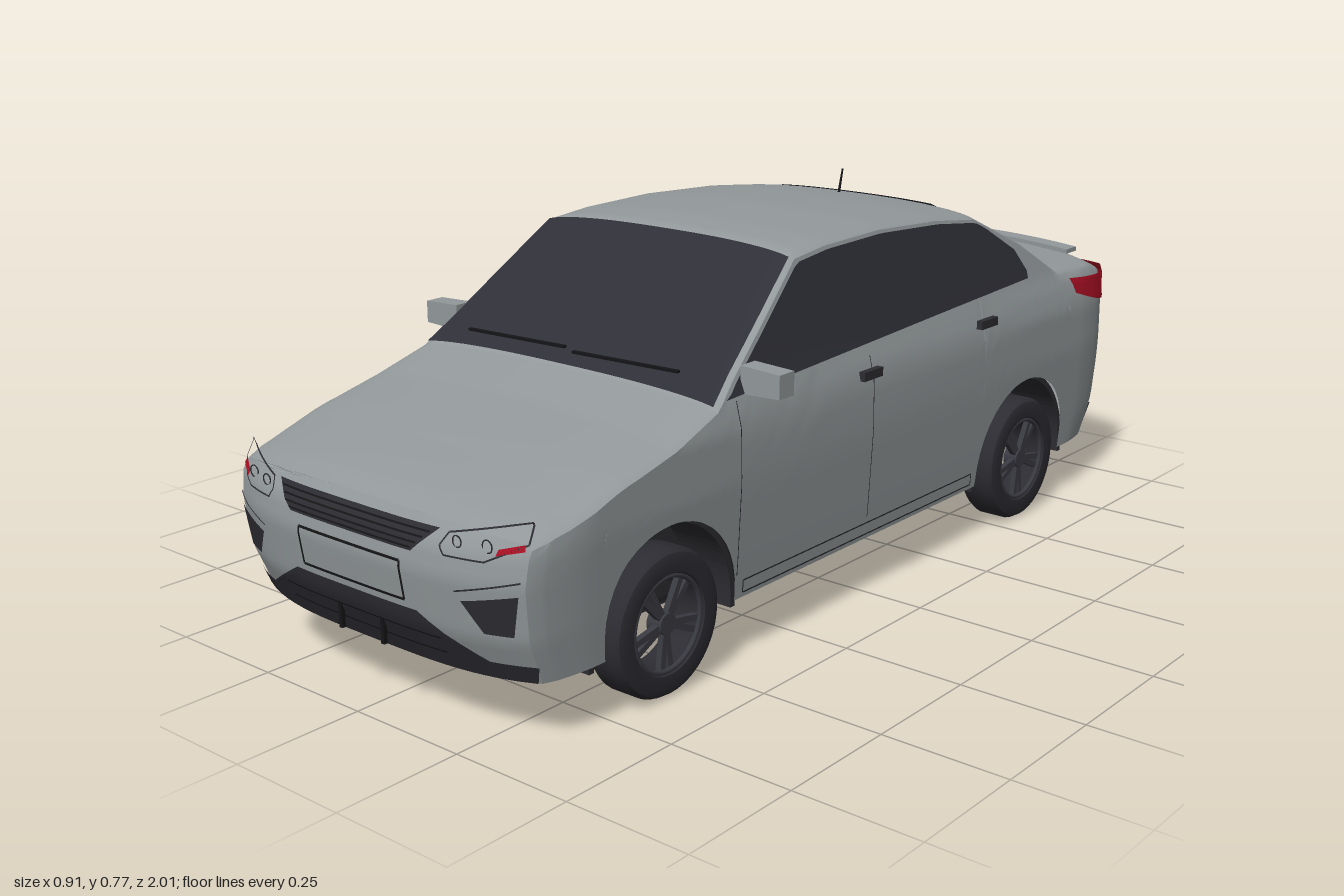
import * as THREE from 'three';
import { mergeGeometries, toCreasedNormals } from 'three/addons/utils/BufferGeometryUtils.js';

const mat = (name, color) => new THREE.MeshStandardMaterial({ name, color, side: THREE.DoubleSide });

// Piecewise linear lookup in [key, value] pairs with rising keys
function table(rows, k) {
  if (k <= rows[0][0]) return rows[0][1];
  for (let i = 1; i < rows.length; i++) {
    const [a, va] = rows[i - 1], [b, vb] = rows[i];
    if (k <= b) return va + (vb - va) * (k - a) / (b - a);
  }
  return rows[rows.length - 1][1];
}

// Body rules: centre height, crown, half width by height, end taper, end-face slant
const TOP = [[-1, .535], [-.96, .552], [-.85, .557], [-.74, .562], [-.6, .645], [-.44, .716], [-.3, .732],
  [-.1, .742], [.08, .738], [.18, .728], [.48, .508], [.6, .475], [.8, .437], [.9, .42], [.97, .405], [1, .393]];
const CROWN = [[-1, .03], [-.74, .035], [-.44, .025], [.18, .022], [.48, .02], [.7, .03], [1, .03]];
const SIDE = [[.12, .374], [.2, .38], [.35, .389], [.45, .388], [.5, .376], [.53, .364], [.6, .346], [.7, .318], [.74, .305]];
const TAPER = [[.88, 1], [.95, .985], [.98, .97], [1, .945]];
const NOSE = [[.12, .05], [.2, .015], [.3, 0], [.35, .006], [.4, .035]];
const TAIL = [[.12, .05], [.2, .01], [.3, 0], [.5, 0], [.55, .03]];
const WHEEL_Z = [.615, -.585], WHEEL_Y = .137, ARCH = .187;

const edge = z => table(TOP, z) - table(CROWN, z);
const halfWidth = (y, z) => table(SIDE, y) * table(TAPER, Math.abs(z));
function bottom(z) {
  for (const c of WHEEL_Z) {
    const d = Math.abs(z - c);
    if (d < ARCH) return .135 + Math.sqrt(ARCH * ARCH - d * d);
  }
  return .12;
}
// Rounds the nose and tail in plan and slants their faces
function bend(x, y, z) {
  const k = THREE.MathUtils.smoothstep(Math.abs(z), .7, 1);
  const d = k * (.065 * Math.pow(Math.abs(x) / .38, 3.5) + table(z > 0 ? NOSE : TAIL, y));
  return [x, y, z - Math.sign(z) * d];
}
// Places flat coordinates on the body skin, slightly raised
const raise = (p, x, y, z) => [p[0] + x, p[1] + y, p[2] + z];
const onFront = (x, y) => raise(bend(x, y, 1), 0, 0, .004);
const onBack = (x, y) => raise(bend(x, y, -1), 0, 0, -.004);
const onSide = s => (z, y) => raise(bend(s * halfWidth(y, z), y, z), s * .004, 0, 0);
function crownPoint(u, z) {
  const e = edge(z), y = e + table(CROWN, z) * Math.pow(Math.max(0, 1 - Math.pow(Math.abs(u), 2.5)), .6);
  return bend(u * halfWidth(e, z), y, z);
}
const onTop = (u, z) => raise(crownPoint(u, z), 0, .005, Math.sign(z) * .003);

// Surface through a grid of points f(a, b), with a and b from 0 to 1
function grid(na, nb, f) {
  const pos = [], idx = [], w = nb + 1;
  for (let i = 0; i <= na; i++) for (let j = 0; j <= nb; j++) pos.push(...f(i / na, j / nb));
  for (let i = 0; i < na; i++) for (let j = 0; j < nb; j++) {
    const a = i * w + j;
    idx.push(a, a + w, a + 1, a + 1, a + w, a + w + 1);
  }
  const g = new THREE.BufferGeometry();
  g.setAttribute('position', new THREE.Float32BufferAttribute(pos, 3));
  g.setIndex(idx);
  g.computeVertexNormals();
  return g;
}
// Four corners in order around the patch, laid on the skin
const patch = (map, [p, q, r, s], n = 14) => grid(n, 5, (a, b) => {
  const mix = i => (p[i] * (1 - a) + q[i] * a) * (1 - b) + (s[i] * (1 - a) + r[i] * a) * b;
  return map(mix(0), mix(1));
});
// Thin line along points, laid on the skin
function stroke(map, pts, w = .004) {
  return mergeGeometries(pts.slice(1).map((b, i) => {
    const a = pts[i], l = Math.hypot(b[0] - a[0], b[1] - a[1]);
    const nx = -(b[1] - a[1]) / l * w / 2, ny = (b[0] - a[0]) / l * w / 2;
    return patch(map, [[a[0] - nx, a[1] - ny], [b[0] - nx, b[1] - ny], [b[0] + nx, b[1] + ny], [a[0] + nx, a[1] + ny]]);
  }));
}

function bodyGeometry() {
  const zs = new Set(TOP.map(r => r[0]));
  for (let z = -.98; z < 1; z += .04) zs.add(+z.toFixed(3));
  for (const c of WHEEL_Z) for (let k = 0; k <= 20; k++) zs.add(+(c + ARCH * Math.cos(k * Math.PI / 20)).toFixed(4));
  for (const c of WHEEL_Z) for (const s of [-1, 1]) zs.add(c + s * (ARCH + .002));
  const st = [...zs].sort((a, b) => a - b), rows = 16;
  const crown = [.985, .95, .9, .8, .6, .4, .2, 0];
  // Half section from the sill up to the centre line
  const half = z => {
    const b = bottom(z), e = edge(z), out = [];
    for (let i = 0; i <= rows; i++) {
      const y = b + (e - b) * i / rows;
      out.push(bend(halfWidth(y, z), y, z));
    }
    return out.concat(crown.map(u => crownPoint(u, z)));
  };
  const loops = st.map(z => {
    const h = half(z);
    return h.concat(h.slice(0, -1).reverse().map(([x, y, w]) => [-x, y, w]));
  });
  const n = loops[0].length - 1;
  const parts = [grid(st.length - 1, n, (a, b) => loops[Math.round(a * (st.length - 1))][Math.round(b * n)])];
  // Nose and tail faces
  for (const z of [-1, 1]) {
    const h = half(z).map(p => p[0]), hy = half(z).map(p => p[1]), m = h.length - 1;
    parts.push(grid(m, 16, (a, b) => {
      const i = Math.round(a * m);
      return bend(h[i] * (1 - 2 * b) * z, hy[i], z);
    }));
  }
  return toCreasedNormals(mergeGeometries(parts), .6);
}

// Arch outline: half circle with straight legs down to the sill
function archShape(r, low = .107) {
  const s = new THREE.Shape();
  s.moveTo(r, low).lineTo(r, .135).absarc(0, .135, r, 0, Math.PI, false).lineTo(-r, low);
  return s;
}

export function createModel() {
  const car = new THREE.Group();
  car.name = 'sedan';
  const paint = mat('silver paint', 0x93999b), glass = mat('dark glass', 0x2f2f38), trim = mat('dark trim', 0x2c2c32);
  const black = mat('black', 0x151517), red = mat('red lamp', 0xa50f22), white = mat('white lamp', 0xfafafa);
  const rim = mat('rim grey', 0x3a3a42);
  const add = (name, geo, m, parent = car) => {
    const mesh = new THREE.Mesh(geo, m);
    mesh.name = name;
    parent.add(mesh);
    return mesh;
  };
  const box = (name, m, size, at, parent) => {
    const b = add(name, new THREE.BoxGeometry(...size), m, parent);
    b.position.set(...at);
    return b;
  };

  add('body', bodyGeometry(), paint);

  // Glass
  add('windshield', patch(onTop, [[-.975, .478], [.975, .478], [.975, .186], [-.975, .186]], 28), glass);
  add('rearWindow', patch(onTop, [[-.7, -.725], [.7, -.725], [.63, -.455], [-.63, -.455]], 28), glass);
  for (const s of [-1, 1]) add('sideWindows', grid(60, 6, (a, b) => {
    const z = .455 - 1.06 * a, low = .505 + .038 * a;
    const high = Math.max(low, Math.min(edge(z) - .006, table([[-.605, .56], [-.57, .61], [-.44, .69], [-.3, .74]], z)));
    return onSide(s)(z, low + (high - low) * b);
  }), glass);
  for (const x of [-.14, .14]) {
    const w = box('wiper', black, [.26, .005, .008], [x, .537, .458], car);
    w.rotation.z = .025;
  }

  // Front: grilles, lamps and number plate frame
  add('upperGrille', patch(onFront, [[-.205, .378], [.205, .378], [.155, .333], [-.155, .333]], 24), trim);
  for (let i = 0; i < 4; i++) {
    const w = .19 - i * .011, y = .37 - i * .01;
    add('grilleSlat', stroke((x, h) => raise(onFront(x, h), 0, 0, .003), [[-w, y], [w, y]], .003), black);
  }
  add('lowerGrille', patch(onFront, [[-.155, .226], [.155, .226], [.29, .15], [-.29, .15]], 24), trim);
  add('frontLip', patch(onFront, [[-.362, .155], [.362, .155], [.35, .121], [-.35, .121]], 24), trim);
  for (const y of [.155, .185]) add('grilleBar', stroke((x, h) => raise(onFront(x, h), 0, 0, .003), [[-.2, y], [.2, y]], .003), black);
  for (const x of [-.055, .055]) box('grillePost', black, [.008, .09, .008], [x, .18, .978], car);
  add('frontPlateFrame', stroke(onFront, [[-.13, .24], [.13, .24], [.13, .311], [-.13, .311], [-.13, .24]], .005), black);
  for (const s of [-1, 1]) {
    const f = (x, y) => onFront(s * x, y);
    add('headlampOutline', stroke(f, [[.215, .355], [.225, .375], [.36, .405], [.363, .372], [.3, .34], [.225, .34], [.215, .355]], .003), trim);
    for (const [x, r] of [[.245, .01], [.3, .011]]) {
      const ring = add('headlampRing', new THREE.TorusGeometry(r, .0012, 6, 20), trim);
      ring.position.set(...f(x, .364));
    }
    add('frontMarker', patch(f, [[.318, .352], [.361, .362], [.358, .372], [.32, .362]]), red);
    add('fogGrille', patch(f, [[.255, .266], [.356, .288], [.34, .213], [.29, .213]]), trim);
    add('bumperCrease', stroke(f, [[.245, .282], [.36, .312]], .003), trim);
  }

  // Back: lamps, bumper, number plate frame and lip spoiler
  add('rearBumperTrim', patch(onBack, [[-.36, .185], [.36, .185], [.35, .121], [-.35, .121]], 24), trim);
  add('rearPlateFrame', stroke(onBack, [[-.13, .36], [.13, .36], [.13, .435], [-.13, .435], [-.13, .36]], .005), black);
  for (const s of [-1, 1]) {
    const b = (x, y) => onBack(s * x, y);
    add('tailLampBack', patch(b, [[.366, .44], [.366, .522], [.2, .515], [.13, .475]]), red);
    add('tailLampSide', patch(onSide(s), [[-1, .44], [-1, .5], [-.79, .515], [-.81, .48]]), red);
    add('rearFogPanel', patch(b, [[.23, .275], [.35, .285], [.335, .2], [.255, .205]]), s < 0 ? white : trim);
    add('rearReflector', patch((x, y) => raise(b(x, y), 0, 0, -.003), [[.27, .24], [.31, .243], [.31, .252], [.27, .249]]), red);
  }
  const lip = new THREE.BoxGeometry(.6, .01, .045, 16, 1, 1), lp = lip.attributes.position;
  for (let i = 0; i < lp.count; i++) {
    const q = (lp.getX(i) / .3) ** 2;
    lp.setZ(i, lp.getZ(i) + .03 * q);
    lp.setY(i, lp.getY(i) - .008 * q);
  }
  lip.computeVertexNormals();
  add('spoilerLip', lip, paint).position.set(0, .556, -.945);
  box('thirdBrakeLamp', red, [.17, .008, .01], [0, .566, -.757], car);

  // Roof antenna
  const antenna = add('antenna', new THREE.CylinderGeometry(.002, .003, .06, 8), black);
  antenna.position.set(0, .742, -.405);
  antenna.rotation.x = -.25;

  // Sides: mirrors, handles, door seams and sills
  for (const s of [-1, 1]) {
    const g = new THREE.BoxGeometry(.088, .052, .042), p = g.attributes.position;
    for (let i = 0; i < p.count; i++) if (p.getX(i) * s > 0) p.setY(i, p.getY(i) * .86);
    g.computeVertexNormals();
    add('mirror', g, paint).position.set(s * .411, .531, .382);
    box('mirrorArm', trim, [.03, .012, .025], [s * .368, .51, .382], car);
    for (const z of [.027, -.4]) box('doorHandle', trim, [.014, .018, .062], [s * .389, .465 + (z < 0 ? .02 : 0), z], car);
    for (const z of [.43, .02]) add('doorSeam', stroke(onSide(s), [[z, .17], [z, .5]], .002), trim);
    add('sillLine', stroke(onSide(s), [[.41, .132], [.41, .156], [-.37, .156], [-.37, .132], [.41, .132]], .003), trim);
  }

  // Underside
  const floor = (name, m, z0, z1, w) => add(name, grid(6, 6, (a, b) =>
    bend(w * (2 * b - 1), .121, z0 + (z1 - z0) * a)), m);
  floor('floorMiddle', black, -.395, .425, .368);
  floor('floorFrontAxle', black, .425, .805, .275);
  floor('floorNose', black, .805, 1, .35);
  floor('floorRearAxle', trim, -.775, -.395, .275);
  floor('floorTail', trim, -1, -.775, .35);
  box('muffler', trim, [.3, .05, .13], [0, .115, -.84], car);
  box('rearAxleBeam', trim, [.56, .04, .05], [0, .13, WHEEL_Z[1]], car);

  // Wheels with arch liners
  const profile = [[.088, -.036], [.118, -.042], [.13, -.038], [.137, -.026], [.137, .026], [.13, .038], [.118, .042], [.094, .04], [.088, .03], [.088, -.036]];
  const tyreGeo = toCreasedNormals(new THREE.LatheGeometry(profile.map(p => new THREE.Vector2(...p)), 40), .6);
  for (const s of [-1, 1]) for (const z of WHEEL_Z) {
    const wheel = new THREE.Group();
    wheel.name = 'wheel';
    wheel.position.set(s * .343, WHEEL_Y, z);
    wheel.rotation.z = -s * Math.PI / 2;
    car.add(wheel);
    add('tyre', tyreGeo, trim, wheel);
    add('rimRing', new THREE.TorusGeometry(.088, .005, 8, 40), rim, wheel).rotation.x = Math.PI / 2;
    wheel.children[1].position.y = .033;
    add('hub', new THREE.CylinderGeometry(.02, .024, .03, 20), rim, wheel).position.y = .02;
    for (let i = 0; i < 5; i++) for (const d of [-.13, .13]) {
      const arm = new THREE.Group();
      arm.rotation.y = i * Math.PI * .4 + d;
      wheel.add(arm);
      box('spoke', rim, [.075, .012, .012], [.05, .025, 0], arm);
    }
    const liner = new THREE.Group();
    liner.name = 'archLiner';
    liner.position.set(s * .262, 0, z);
    liner.rotation.y = s * Math.PI / 2;
    car.add(liner);
    const band = archShape(ARCH + .006), inner = archShape(ARCH - .006).getPoints(20).reverse();
    inner.forEach(p => band.lineTo(p.x, p.y));
    add('linerShell', new THREE.ExtrudeGeometry(band, { depth: .108, bevelEnabled: false, curveSegments: 20 }), trim, liner);
    add('linerWall', new THREE.ShapeGeometry(archShape(ARCH), 20), trim, liner);
  }
  return car;
}
